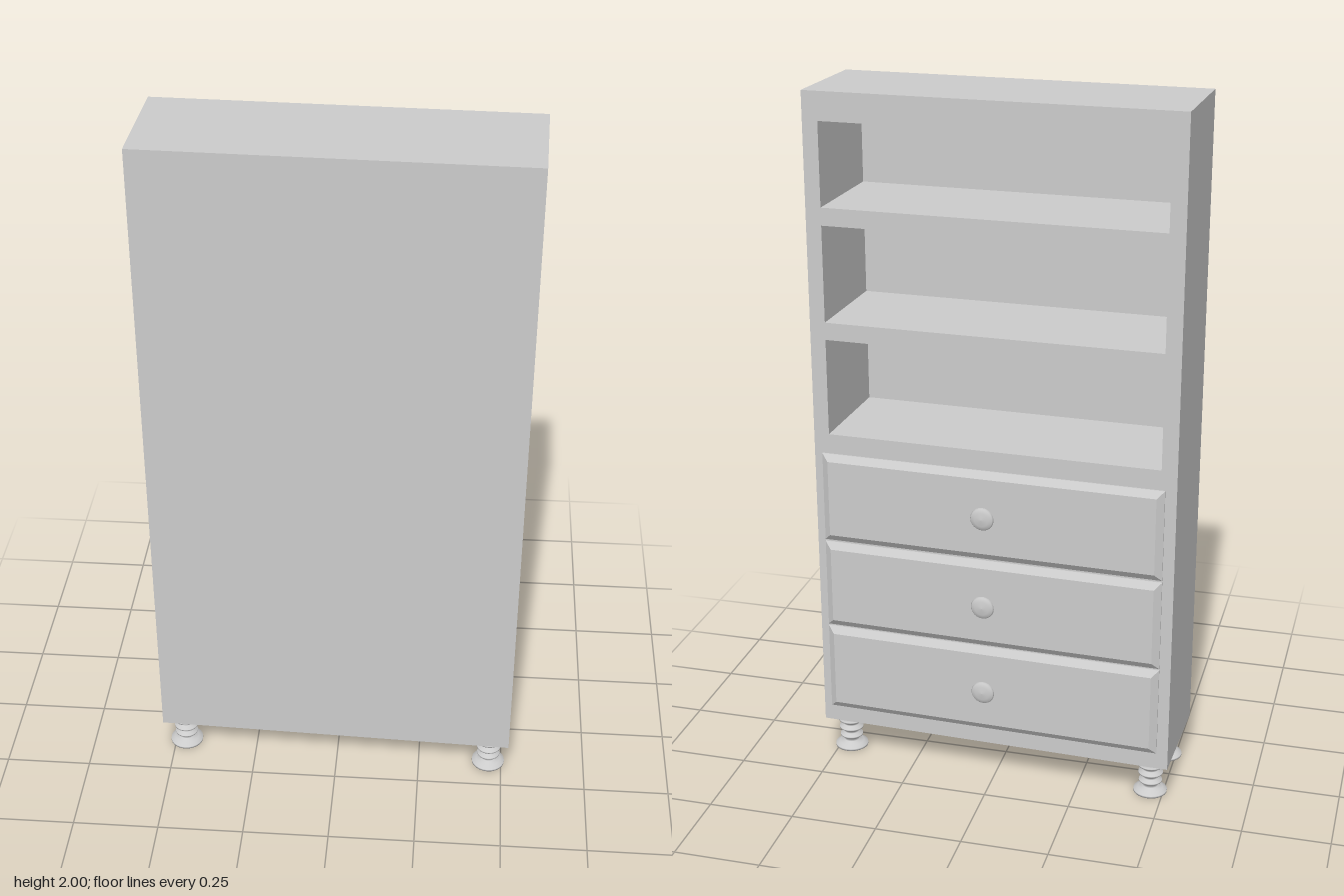
import * as THREE from 'three';

const grey = new THREE.MeshStandardMaterial({ color: 0xcccccc });
const flat = new THREE.MeshStandardMaterial({ color: 0xcccccc, flatShading: true });

function part(name, geometry, material, x = 0, y = 0, z = 0) {
  const mesh = new THREE.Mesh(geometry, material);
  mesh.name = name;
  mesh.position.set(x, y, z);
  return mesh;
}

// Rectangle outline by its edges
function rect(PathType, x, y0, y1) {
  return new PathType([[-x, y0], [x, y0], [x, y1], [-x, y1]].map(p => new THREE.Vector2(...p)));
}

function lathe(points, segments) {
  return new THREE.LatheGeometry(points.map(p => new THREE.Vector2(...p)), segments);
}

export function createModel() {
  const model = new THREE.Group();
  model.name = 'bookcase';
  const cabinet = new THREE.Group();
  cabinet.name = 'cabinet';
  cabinet.position.z = 0.0225;
  cabinet.rotation.y = -0.0335; // stands slightly turned
  model.add(cabinet);

  const W = 0.5245, D = 0.165, panel = 0.006;

  // Carcass with three open shelves facing -z
  const outline = rect(THREE.Shape, W, 0.11, 2);
  for (const [y0, y1] of [[1.03, 1.31], [1.36, 1.635], [1.685, 1.92]]) {
    outline.holes.push(rect(THREE.Path, 0.48, y0, y1));
  }
  const carcass = new THREE.ExtrudeGeometry(outline, { depth: 2 * D - panel, bevelEnabled: false });
  cabinet.add(part('carcass', carcass, flat, 0, 0, -D));

  // Thin closing panel behind the shelves
  cabinet.add(part('shelfPanel', new THREE.BoxGeometry(2 * W, 1.89, panel), flat, 0, 1.055, D - panel / 2));

  // Drawer fronts, bevelled on both sides, each with a round knob
  const drawerGeo = new THREE.ExtrudeGeometry(rect(THREE.Shape, 0.475, -0.113, 0.113), {
    depth: 0.004, bevelSize: 0.02, bevelThickness: 0.014, bevelSegments: 1,
  });
  const knobGeo = lathe([
    [0.016, 0], [0.011, 0.006], [0.011, 0.016], [0.02, 0.019], [0.031, 0.022],
    [0.034, 0.026], [0.031, 0.03], [0.02, 0.034], [0, 0.036],
  ], 24);
  for (const y of [0.845, 0.573, 0.302]) {
    const drawer = new THREE.Group();
    drawer.name = 'drawer';
    drawer.position.set(0, y, -D);
    drawer.add(part('drawerFront', drawerGeo, flat, 0, 0, -0.018));
    const knob = part('knob', knobGeo, grey, 0.01, 0.005, -0.031);
    knob.rotation.x = -Math.PI / 2;
    drawer.add(knob);
    cabinet.add(drawer);
  }

  // Turned feet
  const footGeo = lathe([
    [0, 0], [0.049, 0], [0.049, 0.006], [0.036, 0.012], [0.022, 0.018], [0.022, 0.026],
    [0.034, 0.034], [0.034, 0.038], [0.022, 0.045], [0.022, 0.051], [0.036, 0.06], [0.036, 0.064],
    [0.024, 0.072], [0.024, 0.077], [0.038, 0.086], [0.038, 0.09], [0.03, 0.097], [0.037, 0.106], [0.037, 0.111],
  ], 24);
  for (const x of [-0.465, 0.465]) {
    for (const z of [-0.107, 0.107]) cabinet.add(part('foot', footGeo, grey, x, 0, z));
  }
  return model;
}
